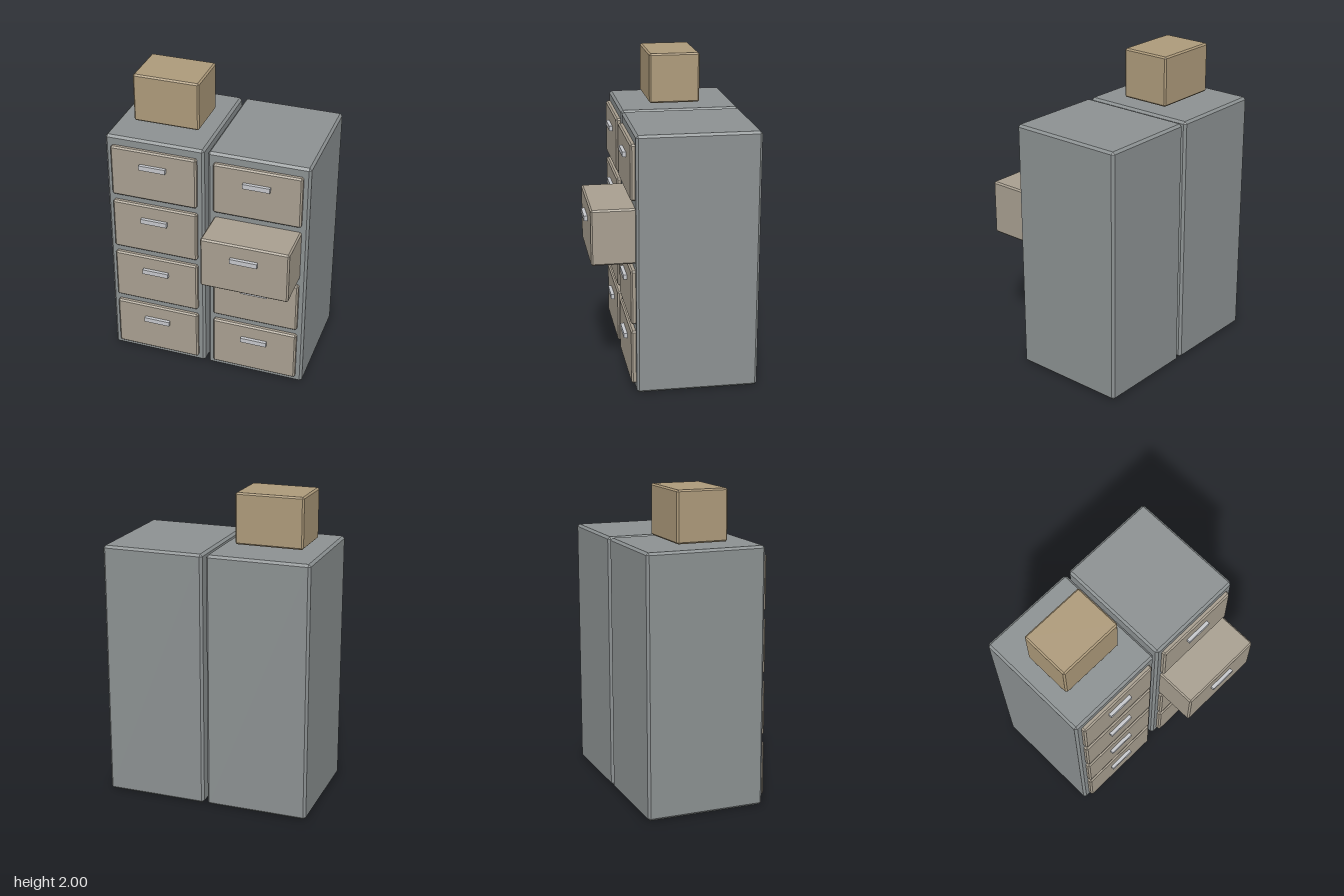
import * as THREE from 'three';
import { ConvexGeometry } from 'three/addons/geometries/ConvexGeometry.js';

// Box with flat chamfers of size c on every edge, centred on the origin
function chamferBox(w, h, d, c) {
  const points = [];
  for (const sx of [-1, 1]) for (const sy of [-1, 1]) for (const sz of [-1, 1]) {
    for (let axis = 0; axis < 3; axis++) {
      const p = [w / 2 - c, h / 2 - c, d / 2 - c];
      p[axis] += c;
      points.push(new THREE.Vector3(sx * p[0], sy * p[1], sz * p[2]));
    }
  }
  return new ConvexGeometry(points);
}

function colour(name, hex) {
  const material = new THREE.MeshStandardMaterial({ color: hex });
  material.name = name;
  return material;
}

export function createModel() {
  const model = new THREE.Group();
  model.name = 'filingCabinets';
  const steel = colour('grey steel', 0x8c9192);
  const beige = colour('drawer beige', 0xa89f90);
  const silver = colour('handle silver', 0xc5c7cb);
  const cardboard = colour('cardboard brown', 0xad9a7a);

  function add(parent, name, geometry, material, x, y, z) {
    const mesh = new THREE.Mesh(geometry, material);
    mesh.name = name;
    mesh.position.set(x, y, z);
    parent.add(mesh);
  }

  const bodyGeometry = chamferBox(0.66, 1.657, 0.768, 0.015);
  const handleGeometry = new THREE.BoxGeometry(0.177, 0.032, 0.03);
  const back = 0.22; // drawers start just inside the cabinet front

  for (const side of [-1, 1]) {
    const cabinet = new THREE.Group();
    cabinet.name = side < 0 ? 'rightCabinet' : 'leftCabinet';
    cabinet.position.x = side * 0.342;
    model.add(cabinet);
    add(cabinet, 'body', bodyGeometry, steel, 0, 0.8285, -0.146);

    // Four drawers; the third one of the left cabinet is pulled out
    for (let i = 0; i < 4; i++) {
      const drawer = new THREE.Group();
      drawer.name = `drawer${i + 1}`;
      drawer.position.y = 0.224 + 0.3985 * i;
      cabinet.add(drawer);
      const front = side > 0 && i === 2 ? 0.509 : 0.267;
      const depth = front - back;
      add(drawer, 'drawerBox', chamferBox(0.574, 0.352, depth, 0.01), beige, 0, 0, back + depth / 2);
      add(drawer, 'handle', handleGeometry, silver, 0, 0.066, front + 0.007);
    }
  }

  // Storage box above the right cabinet
  add(model, 'storageBox', chamferBox(0.438, 0.324, 0.33, 0.01), cardboard, -0.334, 1.838, -0.126);
  return model;
}
